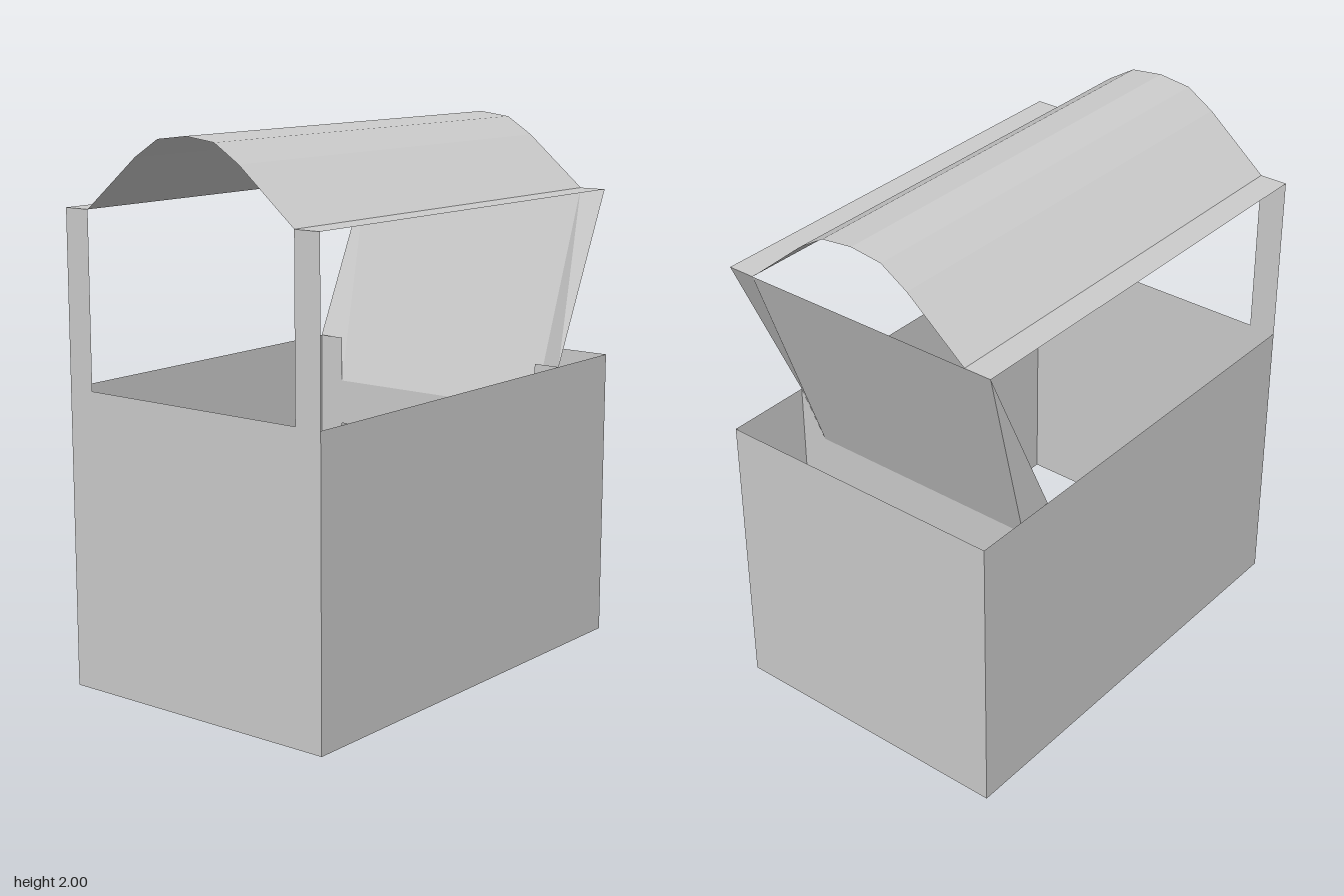
import * as THREE from 'three';

// Main dimensions
const BACK = -0.865, NOSE = 0.865, SIDE = 0.565, INNER = 0.46;
const SILL = 1.095, EAVE = 1.73, DASH_X = 0.53, ROOF_X = 0.825;

export function createModel() {
  const model = new THREE.Group();
  model.name = 'cabBody';
  const paint = new THREE.MeshStandardMaterial({ color: 0xcccccc, side: THREE.DoubleSide, flatShading: true });
  paint.name = 'lightGrey';

  // Thin sheet from flat polygons (three or four corners each)
  function sheet(name, polygons) {
    const pos = [];
    for (const p of polygons) {
      for (let i = 1; i < p.length - 1; i++) pos.push(...p[0], ...p[i], ...p[i + 1]);
    }
    const geo = new THREE.BufferGeometry();
    geo.setAttribute('position', new THREE.Float32BufferAttribute(pos, 3));
    geo.computeVertexNormals();
    const mesh = new THREE.Mesh(geo, paint);
    mesh.name = name;
    model.add(mesh);
  }

  // Upright rectangle facing +x
  const across = (x, y0, y1, z0, z1) => [[x, y0, z1], [x, y0, z0], [x, y1, z0], [x, y1, z1]];
  // Upright rectangle facing +z
  const along = (z, x0, x1, y0, y1) => [[x0, y0, z], [x1, y0, z], [x1, y1, z], [x0, y1, z]];

  // Lower body: four walls, open above and below
  sheet('frontWall', [along(SIDE, BACK, NOSE, 0, SILL)]);
  sheet('backWall', [along(-SIDE, BACK, NOSE, 0, SILL).reverse()]);
  sheet('noseWall', [across(NOSE, 0, SILL, -SIDE, SIDE)]);
  sheet('tailWall', [across(BACK, 0, SILL, -SIDE, SIDE).reverse()]);

  // Bulkhead strips, windscreen wings and roof posts on both sides
  for (const s of [1, -1]) {
    const label = s > 0 ? 'front' : 'back';
    const order = (p) => (s > 0 ? p : p.reverse());
    sheet(label + 'BulkheadStrip', [order(across(DASH_X, 0, SILL, s * INNER, s * SIDE))]);
    sheet(label + 'RoofPost', [order(across(BACK, SILL, EAVE, s * INNER, s * SIDE)).reverse()]);
    sheet(label + 'ScreenWing', [order([
      [DASH_X, SILL, s * SIDE], [DASH_X, 0.92, s * INNER],
      [ROOF_X, EAVE, s * INNER], [ROOF_X, EAVE, s * SIDE],
    ])]);
  }

  // Dashboard panel and the sloping screen above it
  sheet('dashboard', [across(DASH_X, 0.745, 0.92, -INNER, INNER)]);
  sheet('slopingScreen', [[
    [DASH_X, 0.92, INNER], [DASH_X, 0.92, -INNER],
    [ROOF_X, EAVE, -INNER], [ROOF_X, EAVE, INNER],
  ]]);

  // Arched roof with flat eaves, from half a profile mirrored
  const half = [[SIDE, EAVE], [INNER, EAVE], [0.23, 1.92], [0.125, 1.985]];
  const profile = [...half, [0, 2], ...half.map(([z, y]) => [-z, y]).reverse()];
  const roof = [];
  for (let i = 0; i < profile.length - 1; i++) {
    const [z0, y0] = profile[i], [z1, y1] = profile[i + 1];
    roof.push([[BACK, y0, z0], [ROOF_X, y0, z0], [ROOF_X, y1, z1], [BACK, y1, z1]]);
  }
  sheet('archedRoof', roof);

  return model;
}
